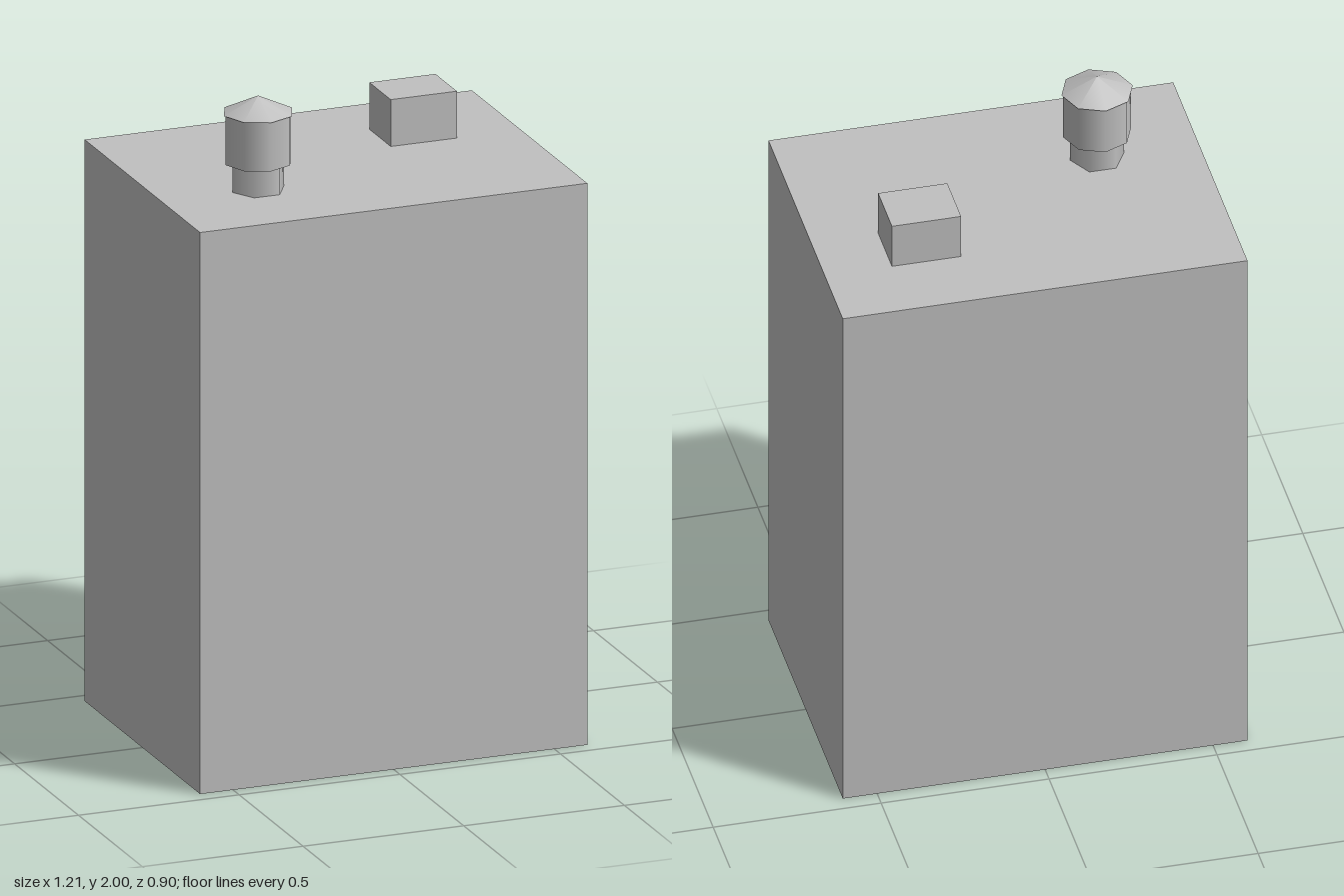
import * as THREE from 'three';

export function createModel() {
  const model = new THREE.Group();
  const grey = new THREE.MeshStandardMaterial({ color: 0xc0c0c0, side: THREE.DoubleSide });
  grey.name = 'concrete grey';

  const add = (name, geometry, x, y, z) => {
    const mesh = new THREE.Mesh(geometry, grey);
    mesh.name = name;
    mesh.position.set(x, y, z);
    model.add(mesh);
    return mesh;
  };

  // Box without its bottom face (indices 18 to 23)
  const openBox = (w, h, d) => {
    const g = new THREE.BoxGeometry(w, h, d);
    const index = Array.from(g.index.array);
    index.splice(18, 6);
    g.setIndex(index);
    g.clearGroups();
    return g;
  };

  // Building shell, open underneath
  const roofY = 1.714;
  add('buildingShell', openBox(1.205, roofY, 0.904), 0, roofY / 2, 0);

  // Small roof hut
  add('roofHut', openBox(0.206, 0.143, 0.168), 0.3, roofY + 0.0715, -0.151);

  // Water tank: six-sided stand, eight-sided barrel, conical lid
  const tx = -0.302, tz = 0.15;
  const stand = new THREE.CylinderGeometry(0.08, 0.08, 0.086, 6, 1, true);
  stand.rotateY(Math.PI / 2);
  add('tankStand', stand, tx, roofY + 0.043, tz);
  add('tankBarrel', new THREE.CylinderGeometry(0.101, 0.101, 0.15, 8), tx, 1.875, tz);
  add('tankLid', new THREE.ConeGeometry(0.106, 0.05, 8), tx, 1.975, tz);

  return model;
}
